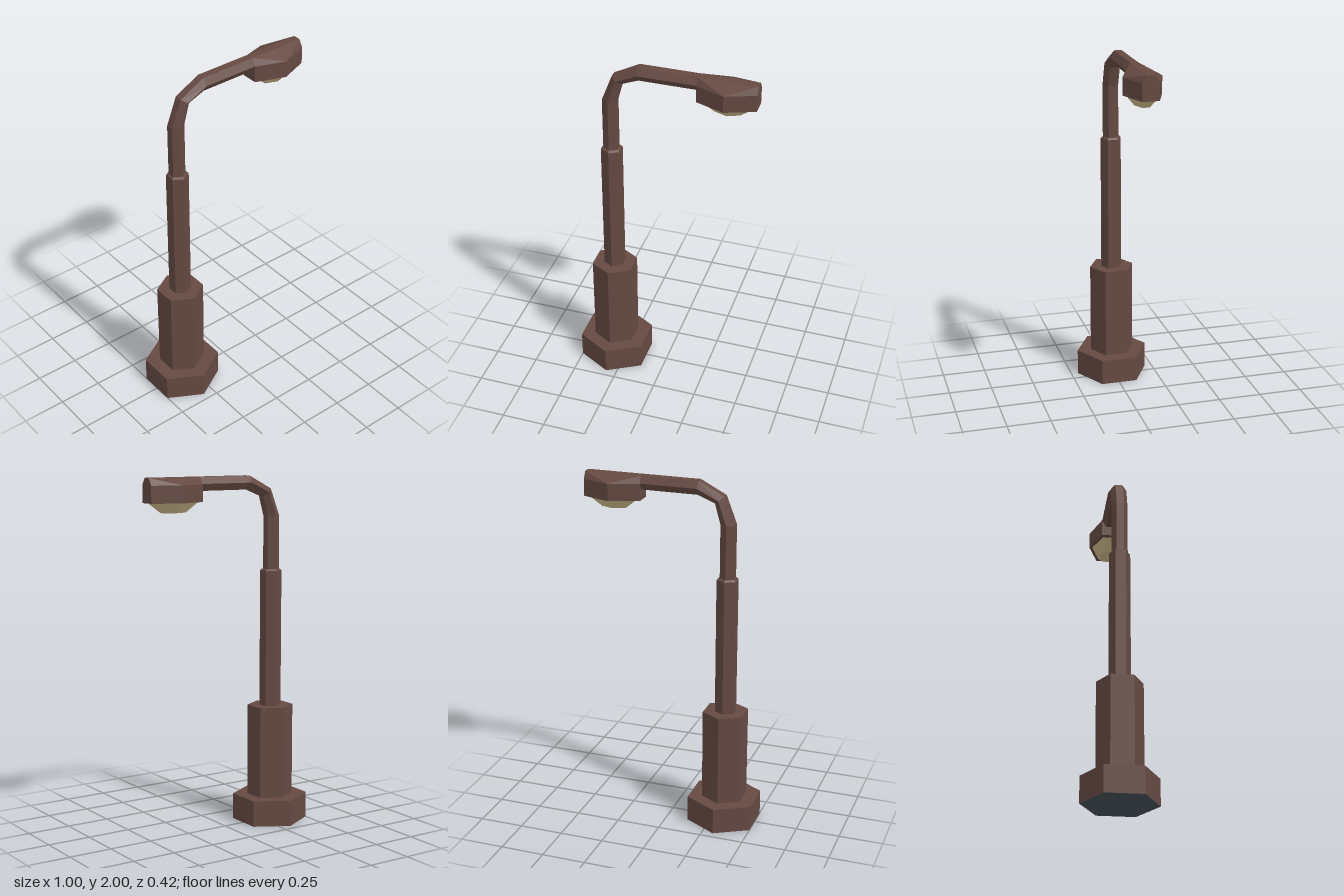
import * as THREE from 'three';

const POLE_X = -0.3135;

// Skins a list of six-point rings (counter-clockwise about the path) and caps both ends.
function loft(rings) {
  const pos = [];
  const tri = (...pts) => pts.forEach((p) => pos.push(...p));
  const n = rings[0].length;
  for (let r = 0; r < rings.length - 1; r++) {
    for (let i = 0; i < n; i++) {
      const j = (i + 1) % n;
      const a = rings[r][i], b = rings[r][j], c = rings[r + 1][j], d = rings[r + 1][i];
      // Diagonals mirror each other across the shape
      if (i % 3 === 2) {
        tri(a, b, d);
        tri(b, c, d);
      } else {
        tri(a, b, c);
        tri(a, c, d);
      }
    }
  }
  const first = rings[0], last = rings[rings.length - 1];
  for (let i = 1; i < n - 1; i++) {
    tri(first[0], first[i + 1], first[i]);
    tri(last[0], last[i], last[i + 1]);
  }
  const geo = new THREE.BufferGeometry();
  geo.setAttribute('position', new THREE.Float32BufferAttribute(pos, 3));
  geo.computeVertexNormals();
  return geo;
}

// Six-sided outline of the lamp head at height y, scaled about its centre.
function headRing(y, scale = 1, midZ = 0.107, endZ = 0.046) {
  const cx = 0.338, h = 0.163;
  return [[0, midZ], [h, endZ], [h, -endZ], [0, -midZ], [-h, -endZ], [-h, endZ]]
    .map(([x, z]) => [cx + x * scale, y, z * scale]);
}

export function createModel() {
  const brown = new THREE.MeshStandardMaterial({ color: 0x664a43, flatShading: true });
  brown.name = 'brown metal';
  const slate = new THREE.MeshStandardMaterial({ color: 0x455057, flatShading: true });
  slate.name = 'dark slate';
  const glass = new THREE.MeshStandardMaterial({ color: 0xd0bc8c, flatShading: true });
  glass.name = 'tan glass';

  const model = new THREE.Group();
  model.name = 'streetLamp';
  const add = (name, geo, mat) => {
    const mesh = new THREE.Mesh(geo, mat);
    mesh.name = name;
    model.add(mesh);
    return mesh;
  };

  // Stacked hexagonal prisms: name, bottom, top, lower radius, upper radius
  const prisms = [
    ['foot', 0, 0.15, 0.21, 0.21],
    ['pedestal', 0.15, 0.68, 0.128, 0.128],
    ['pole', 0.68, 1.46, 0.06, 0.06],
    ['poleCollar', 1.46, 1.47, 0.06, 0.051],
  ];
  for (const [name, y0, y1, r0, r1] of prisms) {
    const geo = new THREE.CylinderGeometry(r1, r0, y1 - y0, 6);
    const mesh = add(name, geo, name === 'foot' ? [brown, brown, slate] : brown);
    mesh.position.set(POLE_X, (y0 + y1) / 2, 0);
    mesh.scale.x = 1.03;
  }

  // Bent arm: outer and inner edge of each hexagonal section
  const sections = [
    [-0.355, 1.46, -0.275, 1.46],
    [-0.355, 1.77, -0.275, 1.77],
    [-0.295, 1.925, -0.243, 1.885],
    [-0.15, 2.0, -0.147, 1.923],
    [0.19, 2.0, 0.19, 1.923],
  ];
  add('arm', loft(sections.map(([ox, oy, ix, iy]) => {
    const mx = (ox + ix) / 2, my = (oy + iy) / 2;
    return [
      [ox, oy, 0.021], [mx, my, 0.046], [ix, iy, 0.021],
      [ix, iy, -0.021], [mx, my, -0.046], [ox, oy, -0.021],
    ];
  })), brown);

  // Lamp head with a sloped roof, and the tapered lens below it
  add('lampHead', loft([headRing(1.865), headRing(1.96), headRing(2, 1, 0.021, 0.021)]), brown);
  add('lens', loft([headRing(1.81, 0.42), headRing(1.866, 0.84)]), glass);

  return model;
}
